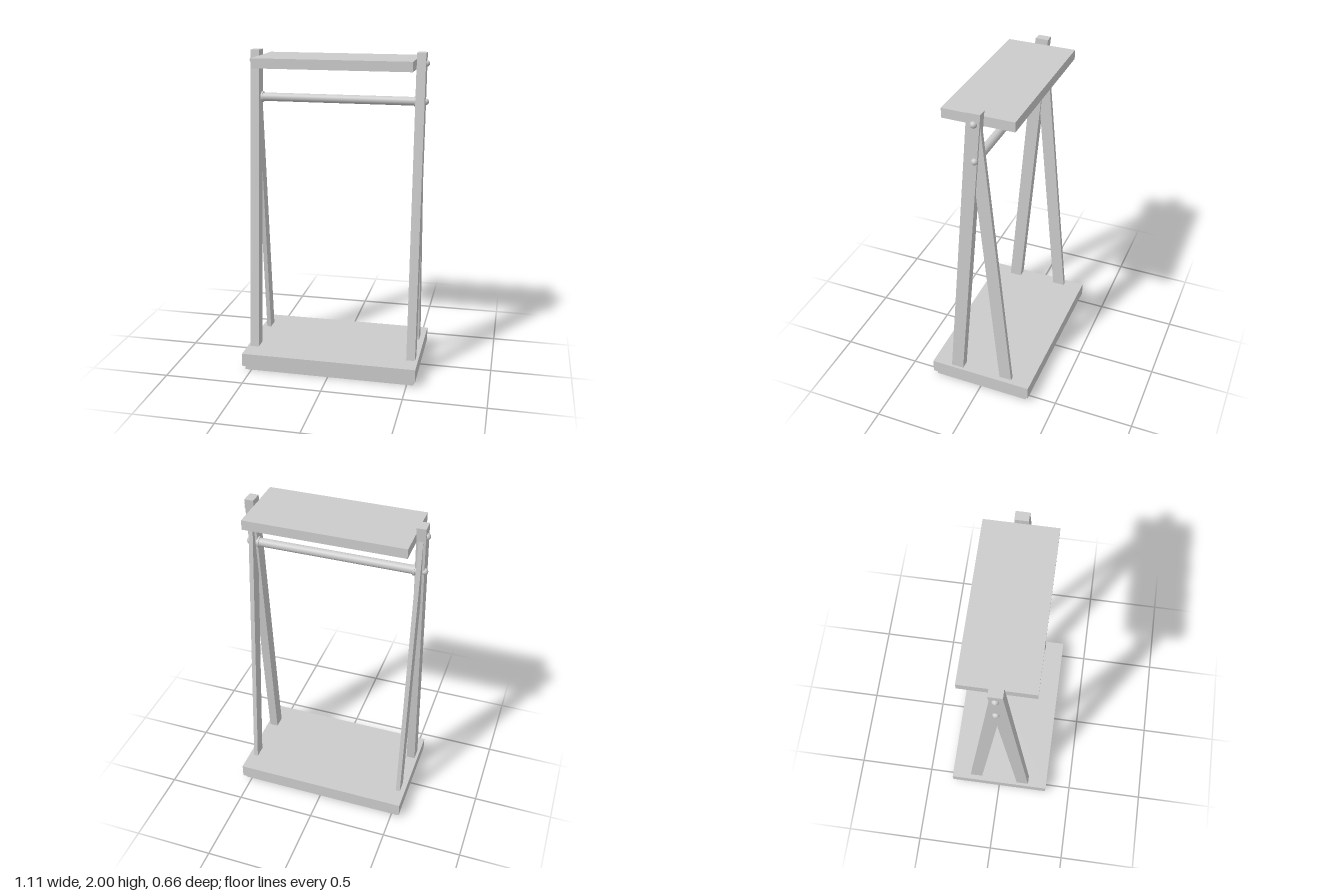
import * as THREE from 'three';

const material = new THREE.MeshStandardMaterial({ color: 0xcccccc });

function add(parent, name, geometry, x = 0, y = 0, z = 0) {
  const mesh = new THREE.Mesh(geometry, material);
  mesh.name = name;
  mesh.position.set(x, y, z);
  parent.add(mesh);
  return mesh;
}

// Slanted leg: side profile as [z, y] corners, extruded to a width along x
function legGeometry(profile, width) {
  const shape = new THREE.Shape(profile.map(([z, y]) => new THREE.Vector2(-z, y)));
  const geometry = new THREE.ExtrudeGeometry(shape, { depth: width, bevelEnabled: false });
  geometry.translate(0, 0, -width / 2);
  return geometry.rotateY(Math.PI / 2);
}

export function createModel() {
  const model = new THREE.Group();
  model.name = 'stand';

  // Base with a recessed plinth
  add(model, 'plinth', new THREE.BoxGeometry(1.08, 0.03, 0.62), 0, 0.015, 0);
  add(model, 'base', new THREE.BoxGeometry(1.108, 0.085, 0.662), 0, 0.0725, 0);

  // Board held between the posts, and the rail below it
  add(model, 'topBoard', new THREE.BoxGeometry(0.964, 0.059, 0.428), 0, 1.936, 0);
  add(model, 'rail', new THREE.CylinderGeometry(0.026, 0.026, 0.98, 32).rotateZ(Math.PI / 2), 0, 1.71, 0);

  // A-frame on each side: wide front leg, narrower back leg running into it
  const frontLeg = legGeometry([[0.205, 0.11], [0.125, 0.11], [-0.04, 2], [0.04, 2]], 0.055);
  const backLeg = legGeometry([[-0.125, 0.11], [-0.205, 0.11], [-0.031, 1.93], [0.035, 1.8]], 0.027);
  const collar = new THREE.CylinderGeometry(0.033, 0.033, 0.012, 32).rotateZ(Math.PI / 2);
  const boltHead = new THREE.SphereGeometry(0.02, 24, 16);

  for (const side of [1, -1]) {
    const frame = new THREE.Group();
    frame.name = side > 0 ? 'leftFrame' : 'rightFrame';
    model.add(frame);
    add(frame, 'frontLeg', frontLeg, side * 0.5085);
    add(frame, 'backLeg', backLeg, side * 0.5085);
    add(frame, 'railCollar', collar, side * 0.476, 1.71, 0);
    for (const y of [1.71, 1.936]) add(frame, 'boltHead', boltHead, side * 0.535, y, 0);
  }
  return model;
}
